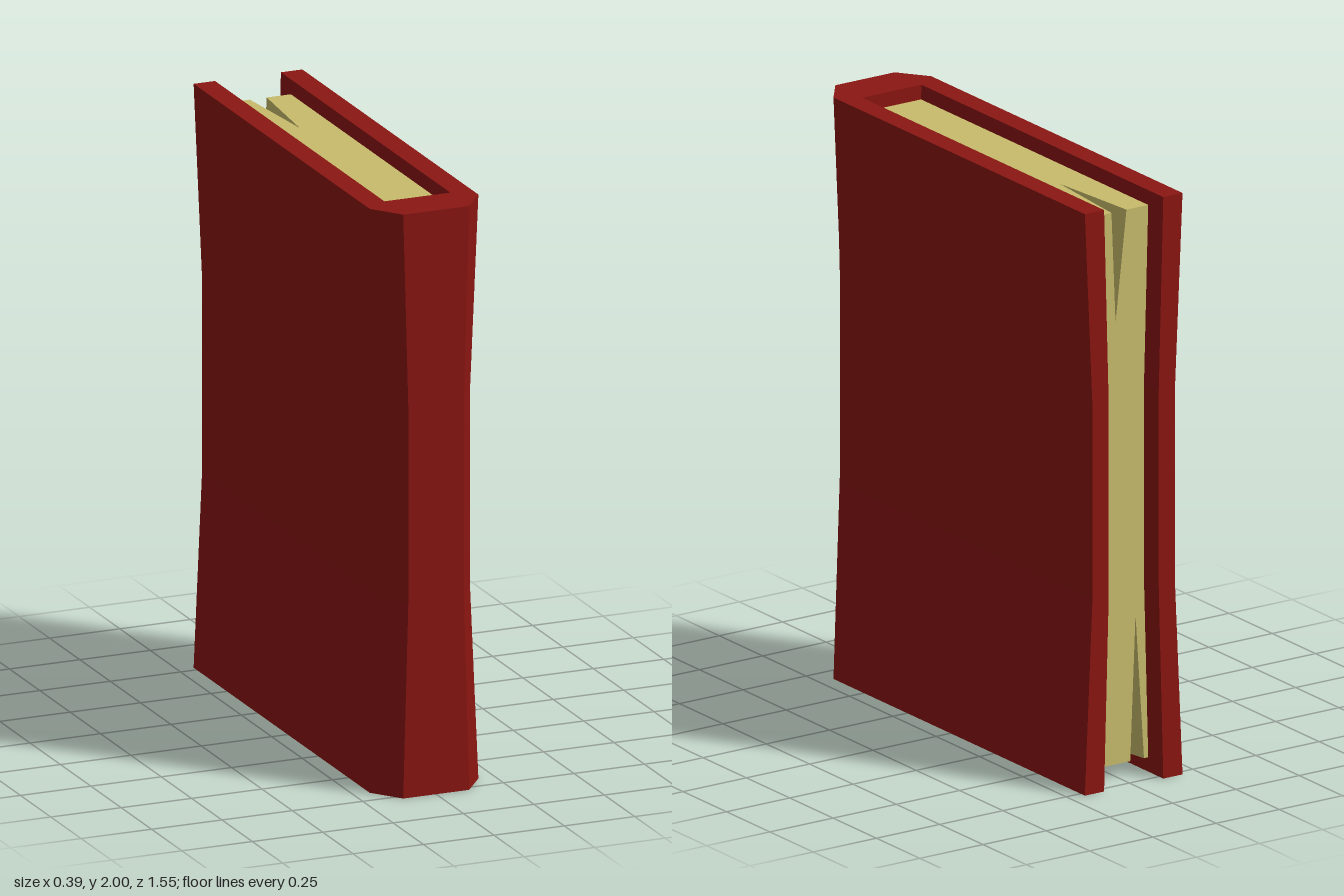
import * as THREE from 'three';

const H = 2, PINCH = 0.845;

// The book narrows towards the middle third of its height
function waist(y) {
  const t = Math.min(Math.min(y, H - y) / (H / 3), 1);
  return 1 + (PINCH - 1) * t;
}

function pinch(geometry) {
  const p = geometry.attributes.position;
  for (let i = 0; i < p.count; i++) p.setX(i, p.getX(i) * waist(p.getY(i)));
  geometry.computeVertexNormals();
  return geometry;
}

// Boards and chamfered spine: one U-shaped section drawn upwards
function coverGeometry() {
  const half = [[0.117, 0.775], [0.193, 0.675], [0.193, -0.775], [0.117, -0.775], [0.117, 0.62]];
  const outline = [...half, ...half.map(([x, z]) => [-x, z]).reverse()];
  const shape = new THREE.Shape(outline.map(([x, z]) => new THREE.Vector2(x, -z)));
  const geometry = new THREE.ExtrudeGeometry(shape, { depth: H, steps: 3, bevelEnabled: false });
  return pinch(geometry.rotateX(-Math.PI / 2));
}

// Page block with a wedge-shaped tear at the top and bottom of its fore edge
function pagesGeometry() {
  const w = 0.117, lo = 0.05, hi = 1.95, back = -0.69, front = 0.62;
  const levels = [lo, H / 3, 2 * H / 3, hi];
  const positions = [];
  const v = (x, y, z) => new THREE.Vector3(x, y, z);

  // Planar polygon, triangulated and turned to face along the given normal
  function face(points, normal) {
    const n = normal.clone();
    const flat = points.map(p => Math.abs(n.y) > 0.9 ? new THREE.Vector2(p.x, p.z)
      : Math.abs(n.z) > 0.9 ? new THREE.Vector2(p.x, p.y) : new THREE.Vector2(p.z, p.y));
    for (const t of THREE.ShapeUtils.triangulateShape(flat, [])) {
      const [a, b, c] = t.map(i => points[i]);
      const facing = b.clone().sub(a).cross(c.clone().sub(a)).dot(n);
      for (const q of facing > 0 ? [a, b, c] : [a, c, b]) positions.push(q.x, q.y, q.z);
    }
  }

  const tears = [
    { y: lo, x0: -0.1, x1: -0.045, tip: v(-0.075, 0.55, back), inner: v(-0.06, lo, -0.45) },
    { y: hi, x0: -0.03, x1: 0.03, tip: v(0.015, 1.57, back), inner: v(0, hi, -0.35) },
  ];
  const [low, high] = tears;
  const up = v(0, 1, 0), rear = v(0, 0, -1);

  // Fore edge, with both tears cut into its outline
  face([
    v(-w, lo, back), v(low.x0, lo, back), low.tip, v(low.x1, lo, back),
    ...levels.map(y => v(w, y, back)),
    v(high.x1, hi, back), high.tip, v(high.x0, hi, back),
    ...levels.slice(1).reverse().map(y => v(-w, y, back)),
  ], rear);

  // Top and bottom edges, and the walls inside each tear
  for (const { y, x0, x1, tip, inner } of tears) {
    face([v(-w, y, back), v(x0, y, back), inner, v(x1, y, back),
      v(w, y, back), v(w, y, front), v(-w, y, front)], up.clone().multiplyScalar(y > 1 ? 1 : -1));
    face([v(x0, y, back), inner, tip], v(0.8, 0, 0));
    face([v(x1, y, back), inner, tip], v(-0.8, 0, 0));
  }

  // Sides and the edge against the spine
  for (let i = 0; i < 3; i++) {
    const [a, b] = [levels[i], levels[i + 1]];
    for (const s of [-1, 1]) {
      face([v(s * w, a, back), v(s * w, a, front), v(s * w, b, front), v(s * w, b, back)], v(s * 0.8, 0, 0));
    }
    face([v(-w, a, front), v(w, a, front), v(w, b, front), v(-w, b, front)], v(0, 0, 1));
  }

  const geometry = new THREE.BufferGeometry();
  geometry.setAttribute('position', new THREE.Float32BufferAttribute(positions, 3));
  return pinch(geometry);
}

export function createModel() {
  const group = new THREE.Group();
  group.name = 'book';
  const add = (name, geometry, color) => {
    const mesh = new THREE.Mesh(geometry, new THREE.MeshStandardMaterial({ color, flatShading: true }));
    mesh.name = name;
    group.add(mesh);
  };
  add('cover', coverGeometry(), 0x8b1612);
  add('pages', pagesGeometry(), 0xc8bc6c);
  return group;
}
